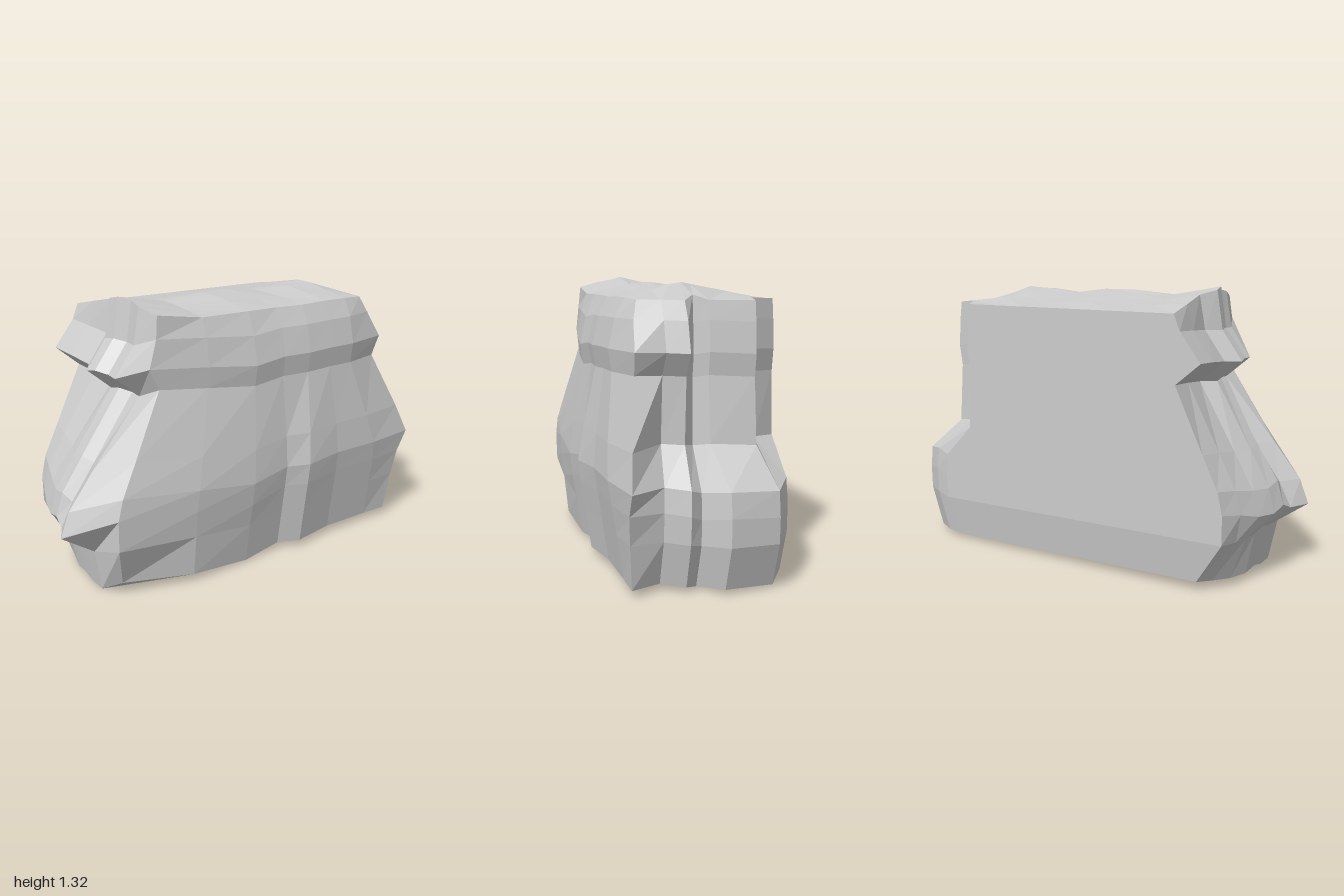
import * as THREE from 'three';

// Plan outlines [x, z]: front (0-7), broken side (7-14), back (14-21)
const WIDE = [
  [-.42, .82], [-.31, .86], [-.2, .9], [-.09, .93], [0, .94], [.07, .95], [.17, 1], [.36, .81],
  [.4, .42], [.4, .1], [.375, -.12], [.42, -.23], [.385, -.45], [.38, -.72], [.35, -.99],
  [.18, -.87], [.08, -.93], [.02, -.88], [-.07, -1], [-.3, -.96], [-.39, -.83], [-.42, -.74],
];
const RIM = [
  [-.42, .575], [-.27, .565], [-.12, .55], [-.04, .6], [.02, .59], [.07, .55], [.15, .56], [.255, .53],
  [.265, .3], [.275, .05], [.27, -.12], [.28, -.27], [.275, -.42], [.27, -.56], [.25, -.68],
  [.15, -.7], [.05, -.72], [-.01, -.64], [-.06, -.71], [-.26, -.74], [-.28, -.64], [-.42, -.55],
];
// Height shift of each column, so that the strata are uneven
const SHIFT = [.04, .02, -.01, -.02, 0, -.03, -.03, .07, .03, -.02, .02, .02, .03, .03, .03, .02, .01, -.02, .01, -.01, .02, 0];
// Strata: y, blend from wide to rim (walls, back columns), push of front / side / back corner / back, front limit
const LEVELS = [
  { y: .02, t: 0, backT: 0, front: -.13, side: -.06, corner: -.12, back: -.07, limit: .81, wave: .6 },
  { y: .22, t: 0, backT: 0, front: 0, side: -.03, corner: -.09, back: -.01, limit: .84, wave: .6 },
  { y: .34, t: 0, backT: 0, front: 0, side: -.01, corner: -.06, back: 0, limit: 1, wave: 1 },
  { y: .45, t: .1, backT: .05, front: 0, side: .015, corner: .03, back: 0, limit: 1, wave: .8 },
  { y: .61, t: .4, backT: .88, front: 0, side: .035, corner: .05, back: 0, limit: 1, wave: .6 },
  { y: .905, t: 1, backT: 1, front: .01, side: .06, corner: .08, back: .03, limit: 1, wave: .5 },
  { y: 1.005, t: 1, backT: 1, front: .13, side: .075, corner: .12, back: .09, limit: 1, wave: .5 },
  { y: 1.14, t: 1, backT: 1, front: .03, side: .045, corner: .04, back: .05, limit: 1, wave: .4 },
  { y: null, t: 1, backT: 1, front: 0, side: 0, corner: 0, back: 0, limit: 1, wave: 0 },
];
const N = WIDE.length;
const EDGE = 7; // columns along each rough side
const lerp = THREE.MathUtils.lerp;

// Rolling top: low at the cut face, ridge near the middle, ripples along z
function topHeight(x, z) {
  const brow = Math.max(0, z - .35);
  const rise = x < .02 ? (x + .42) / .44 : 1 - (x - .02) * (3.4 - brow * 6);
  const ripple = .013 * Math.cos((z - .05) * 12.3);
  const tail = Math.max(0, -z - .5) * .25;
  return 1.23 + rise * (.065 + ripple + brow * .08 - tail);
}

function ringPoint(level, i) {
  const t = i > 2 * EDGE ? level.backT : level.t;
  let x = lerp(WIDE[i][0], RIM[i][0], t);
  let z = lerp(WIDE[i][1], RIM[i][1], t);
  const base = level === LEVELS[0];
  if (i < EDGE) z = Math.min(z + level.front, level.limit);
  else if (i === EDGE) {
    // front corner, undercut at the ground
    x += level.side * (base ? 1.4 : .2);
    z += level.front * .4;
  } else if (i < 2 * EDGE) x += level.side * (i === EDGE + 1 ? .7 : 1);
  else if (i === 2 * EDGE) {
    x += level.side * .5;
    z -= level.corner;
  } else z -= level.back * (i < 17 || base ? 1 : .25);
  // cut face leans in at the ground
  if (base && i % (N - 1) === 0) x += .03;
  // open crack running up the front
  if (i === 5 && level.t > 0 && level.t < 1) z -= .02;
  const y = level.y === null ? topHeight(x, z) : Math.max(0, level.y + level.wave * SHIFT[i]);
  return new THREE.Vector3(x, y, z);
}

// Fill a ring with a grid whose border is the ring itself
function capGrid(ring, height) {
  const rows = [];
  for (let r = 0; r <= EDGE; r++) {
    const v = r / EDGE, row = [];
    for (let c = 0; c <= EDGE; c++) {
      const front = ring[c], back = ring[N - 1 - c], side = ring[EDGE + r];
      if (r === 0) row.push(front);
      else if (r === EDGE) row.push(back);
      else if (c === EDGE) row.push(side);
      else {
        const p = front.clone().lerp(back, v);
        // rows run straight from the cut face to the broken side
        p.z = lerp(lerp(ring[0].z, ring[N - 1].z, v), side.z, c / EDGE);
        if (height) p.y = height(p.x, p.z);
        row.push(p);
      }
    }
    rows.push(row);
  }
  return rows;
}

export function createModel() {
  const positions = [];
  const quad = (a, b, c, d) => {
    for (const p of [a, b, c, a, c, d]) positions.push(p.x, p.y, p.z);
  };

  // Rough walls and flat cut face
  const rings = LEVELS.map(level => WIDE.map((_, i) => ringPoint(level, i)));
  for (let l = 0; l < rings.length - 1; l++) {
    for (let i = 0; i < N; i++) {
      const j = (i + 1) % N;
      quad(rings[l][i], rings[l][j], rings[l + 1][j], rings[l + 1][i]);
    }
  }

  // Rolling top and underside
  const top = capGrid(rings[rings.length - 1], topHeight);
  const base = capGrid(rings[0], null);
  for (let r = 0; r < EDGE; r++) {
    for (let c = 0; c < EDGE; c++) {
      quad(top[r][c], top[r][c + 1], top[r + 1][c + 1], top[r + 1][c]);
      quad(base[r][c], base[r + 1][c], base[r + 1][c + 1], base[r][c + 1]);
    }
  }

  const geometry = new THREE.BufferGeometry();
  geometry.setAttribute('position', new THREE.Float32BufferAttribute(positions, 3));
  geometry.computeVertexNormals();
  const rock = new THREE.Mesh(geometry, new THREE.MeshStandardMaterial({ color: 0xcccccc, flatShading: true }));
  rock.name = 'rockSlab';

  const model = new THREE.Group();
  model.name = 'cliffRock';
  model.add(rock);
  return model;
}
